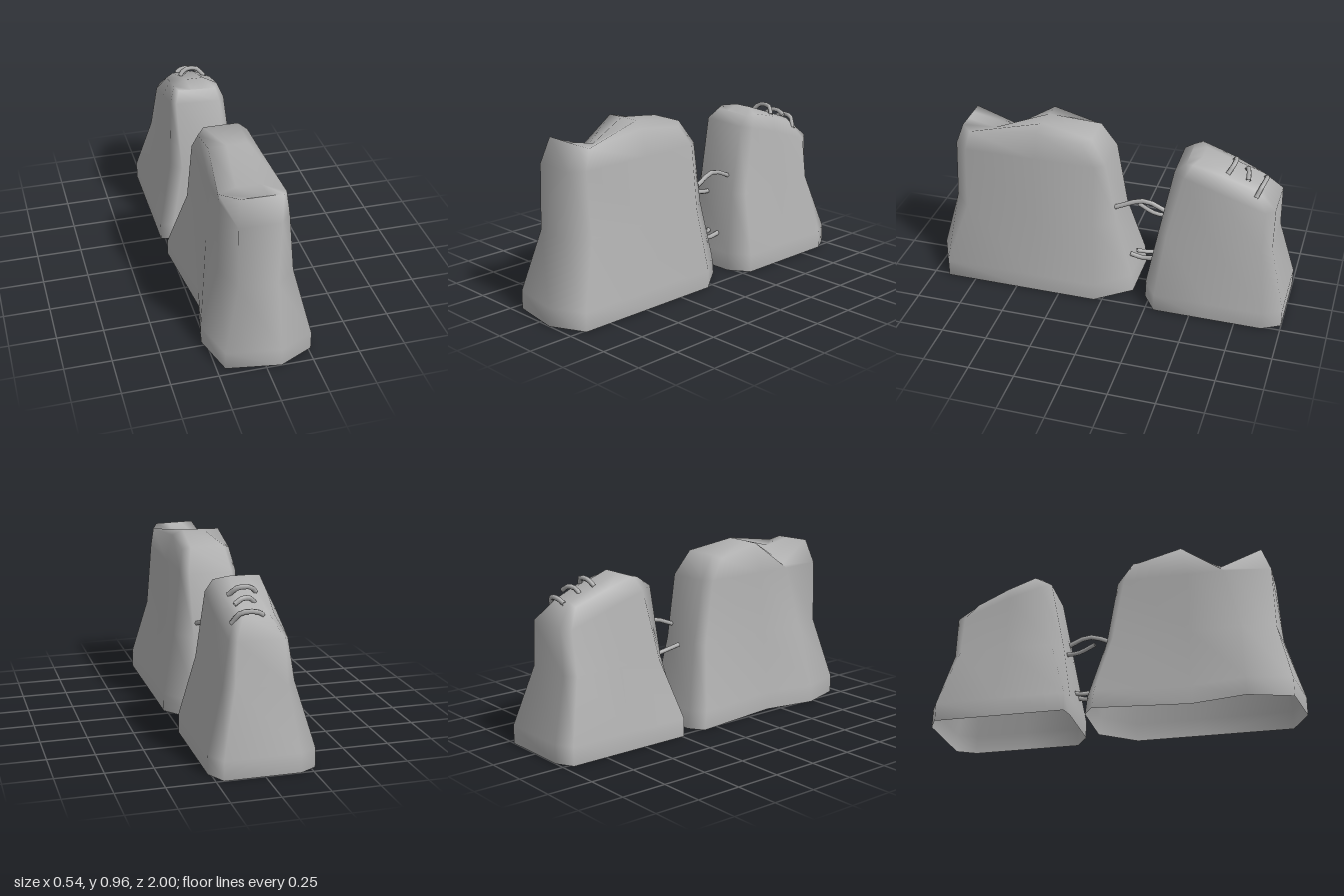
import * as THREE from 'three';

const stone = new THREE.MeshStandardMaterial({ color: 0xb0b0b0, side: THREE.DoubleSide });
stone.name = 'stone grey';

// Gives a flat [x, z] ring a height.
const atHeight = (ring, y) => ring.map(([x, z]) => [x, y, z]);

// Lofts ten-point rings upward, open below, and closes the top with a 4 x 4 patch.
// mids holds the two inner points of patch rows 1 and 2.
function rock(name, rings, mids) {
  const n = 10;
  const points = rings.flat();
  const top = (rings.length - 1) * n;
  const index = [];
  for (let r = 0; r < rings.length - 1; r++) {
    for (let i = 0; i < n; i++) {
      const j = (i + 1) % n;
      const a = r * n + i, b = r * n + j, c = b + n, d = a + n;
      index.push(a, d, c, a, c, b);
    }
  }
  const add = (p) => points.push(p) - 1;
  const rim = rings[rings.length - 1];
  const between = (t) => rim[7].map((v, k) => v + (rim[6][k] - v) * t);
  const rows = [
    [top, top + 1, top + 2, top + 3],
    [top + 9, add(mids[0][0]), add(mids[0][1]), top + 4],
    [top + 8, add(mids[1][0]), add(mids[1][1]), top + 5],
    [top + 7, add(between(1 / 3)), add(between(2 / 3)), top + 6],
  ];
  for (let r = 0; r < 3; r++) {
    for (let c = 0; c < 3; c++) {
      const a = rows[r][c], b = rows[r + 1][c], d = rows[r + 1][c + 1], e = rows[r][c + 1];
      index.push(a, b, d, a, d, e);
    }
  }
  const geometry = new THREE.BufferGeometry();
  geometry.setAttribute('position', new THREE.Float32BufferAttribute(points.flat(), 3));
  geometry.setIndex(index);
  geometry.computeVertexNormals();
  const mesh = new THREE.Mesh(geometry, stone);
  mesh.name = name;
  return mesh;
}

// A thin bent rod through a few points.
function rod(name, path) {
  const curve = new THREE.CatmullRomCurve3(path.map((p) => new THREE.Vector3(...p)));
  const mesh = new THREE.Mesh(new THREE.TubeGeometry(curve, 6, 0.013, 6), stone);
  mesh.name = name;
  return mesh;
}

export function createModel() {
  const group = new THREE.Group();
  group.name = 'rockPair';

  // Long front rock with a notch in its top
  const frontBase = [[-0.27, -0.09], [-0.19, -0.145], [0.12, -0.145], [0.265, 0.045], [0.265, 0.4],
    [0.265, 0.91], [0.08, 1], [-0.205, 0.955], [-0.275, 0.72], [-0.215, 0.425]];
  const frontWaist = [[-0.17, 0], [-0.12, -0.045], [0.11, -0.045], [0.2, 0.07], [0.2, 0.4],
    [0.19, 0.8], [0.08, 0.9], [-0.12, 0.88], [-0.18, 0.7], [-0.17, 0.42]];
  const frontShoulder = [[-0.155, 0.06], [-0.12, 0.015], [0.12, 0.015], [0.16, 0.07], [0.16, 0.4],
    [0.16, 0.8], [0.1, 0.875], [-0.12, 0.87], [-0.15, 0.62], [-0.15, 0.42]];
  const frontRim = [[-0.14, 0.9, 0.14], [-0.1, 0.92, 0.1], [0.09, 0.92, 0.1], [0.13, 0.9, 0.14],
    [0.12, 0.93, 0.4], [0.15, 0.9, 0.77], [0.12, 0.92, 0.82], [-0.1, 0.925, 0.82],
    [-0.145, 0.81, 0.58], [-0.145, 0.96, 0.38]];
  group.add(rock('frontRock', [
    atHeight(frontBase, 0),
    atHeight(frontBase.map(([x, z]) => [x, z < 0 ? z + 0.012 : z]), 0.1),
    atHeight(frontWaist, 0.44),
    atHeight(frontShoulder, 0.79),
    frontRim,
  ], [
    [[-0.05, 0.963, 0.38], [0.065, 0.963, 0.38]],
    [[-0.06, 0.85, 0.6], [0.05, 0.89, 0.66]],
  ]));

  // Shorter rear rock, sloping down towards the back
  const rearBase = [[-0.275, -0.95], [-0.185, -1], [0.21, -1], [0.265, -0.9], [0.265, -0.6],
    [0.265, -0.3], [0.155, -0.225], [-0.2, -0.225], [-0.275, -0.24], [-0.275, -0.6]];
  const rearWaist = [[-0.19, -0.86], [-0.14, -0.91], [0.13, -0.91], [0.18, -0.86], [0.19, -0.6],
    [0.18, -0.34], [0.12, -0.285], [-0.13, -0.285], [-0.19, -0.34], [-0.19, -0.6]];
  const rearShoulder = [[-0.15, 0.66, -0.86], [-0.12, 0.67, -0.91], [0.12, 0.67, -0.91],
    [0.15, 0.66, -0.86], [0.16, 0.75, -0.6], [0.15, 0.8, -0.42], [0.11, 0.81, -0.36],
    [-0.14, 0.82, -0.36], [-0.16, 0.8, -0.42], [-0.165, 0.75, -0.6]];
  const rearRim = [[-0.1, 0.76, -0.8], [-0.06, 0.78, -0.81], [0.06, 0.78, -0.81],
    [0.1, 0.76, -0.8], [0.12, 0.83, -0.62], [0.12, 0.87, -0.46], [0.1, 0.86, -0.42],
    [-0.11, 0.87, -0.42], [-0.13, 0.88, -0.46], [-0.12, 0.83, -0.62]];
  group.add(rock('rearRock', [
    atHeight(rearBase, 0),
    atHeight(rearBase, 0.1),
    atHeight(rearWaist, 0.43),
    rearShoulder,
    rearRim,
  ], [
    [[-0.05, 0.85, -0.62], [0.05, 0.85, -0.62]],
    [[-0.05, 0.893, -0.5], [0.05, 0.893, -0.5]],
  ]));

  // Rods bridging the gap
  const rods = [
    [[0.07, 0.52, -0.33], [0.065, 0.57, -0.19], [0.09, 0.52, -0.03]],
    [[-0.07, 0.41, -0.31], [-0.06, 0.42, -0.22], [-0.085, 0.45, -0.12]],
    [[-0.06, 0.2, -0.3], [0, 0.2, -0.22], [0.045, 0.225, -0.145]],
    [[0.055, 0.2, -0.26], [0.05, 0.185, -0.18], [0.05, 0.2, -0.11]],
  ];
  rods.forEach((path, i) => group.add(rod(`gapRod${i + 1}`, path)));

  // Small arched rungs on the rear slope
  const rungs = [
    [[-0.035, 0.77, -0.825], [0, 0.79, -0.835], [0.08, 0.785, -0.825], [0.12, 0.73, -0.8]],
    [[-0.025, 0.8, -0.72], [0, 0.83, -0.73], [0.05, 0.835, -0.745], [0.09, 0.81, -0.75]],
    [[-0.05, 0.84, -0.65], [-0.02, 0.87, -0.665], [0.05, 0.87, -0.665], [0.09, 0.83, -0.64]],
  ];
  rungs.forEach((path, i) => group.add(rod(`slopeRung${i + 1}`, path)));

  return group;
}
